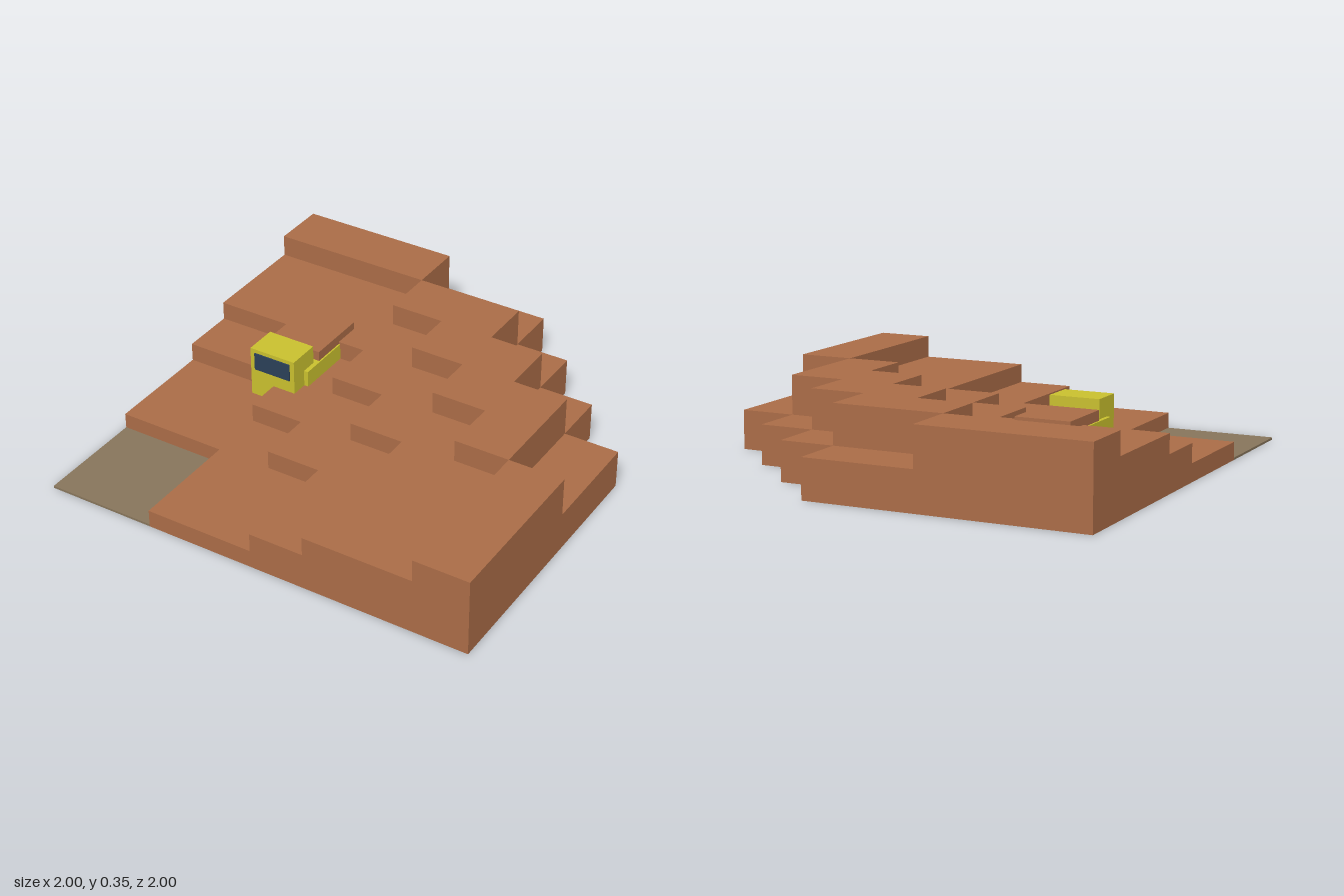
import * as THREE from 'three';

const CELL = 0.25;
// Terrace plan, back row first: 0 pit floor, 1-4 rising benches, 5 outer ledge
const PLAN = [
  '44455...',
  '333445..',
  '3333445.',
  '22233445',
  '11223345',
  '11122334',
  '00112334',
  '00112334',
];
const LEVELS = { 0: 0.01, 1: 0.08, 2: 0.165, 3: 0.25, 4: 0.35, 5: 0.175 };

const codeAt = (col, row) => PLAN[row]?.[col] ?? '.';
const heightAt = (col, row) => LEVELS[codeAt(col, row)] ?? 0;

// Closed stepped surface over every cell accepted by the filter
function steppedGeometry(accept) {
  const pos = [];
  const quad = (a, b, c, d) => pos.push(...a, ...b, ...c, ...a, ...c, ...d);
  const r = CELL / 2;
  for (let row = 0; row < 8; row++) {
    for (let col = 0; col < 8; col++) {
      const code = codeAt(col, row);
      if (code === '.' || !accept(code)) continue;
      const h = heightAt(col, row);
      const x = -1 + (col + 0.5) * CELL;
      const z = -1 + (row + 0.5) * CELL;
      // top and underside
      quad([x - r, h, z + r], [x + r, h, z + r], [x + r, h, z - r], [x - r, h, z - r]);
      quad([x - r, 0, z - r], [x + r, 0, z - r], [x + r, 0, z + r], [x - r, 0, z + r]);
      // risers down to lower neighbours
      for (const [dx, dz] of [[1, 0], [-1, 0], [0, 1], [0, -1]]) {
        const low = heightAt(col + dx, row + dz);
        if (low >= h) continue;
        const cx = x + dx * r, cz = z + dz * r, tx = dz * r, tz = -dx * r;
        quad([cx - tx, low, cz - tz], [cx + tx, low, cz + tz],
          [cx + tx, h, cz + tz], [cx - tx, h, cz - tz]);
      }
    }
  }
  const geo = new THREE.BufferGeometry();
  geo.setAttribute('position', new THREE.Float32BufferAttribute(pos, 3));
  geo.computeVertexNormals();
  return geo;
}

function material(name, color) {
  const m = new THREE.MeshStandardMaterial({ color });
  m.name = name;
  return m;
}

export function createModel() {
  const earth = material('red earth', 0xaa6c47);
  const mud = material('pit mud', 0x87755b);
  const yellow = material('truck yellow', 0xc9c02e);
  const glass = material('dark glass', 0x2b4058);

  const model = new THREE.Group();
  model.name = 'openPitMine';

  const add = (parent, name, geo, mat) => {
    const mesh = new THREE.Mesh(geo, mat);
    mesh.name = name;
    parent.add(mesh);
    return mesh;
  };
  // Box given by its minimum and maximum on each axis
  const box = (parent, name, mat, [x0, x1], [y0, y1], [z0, z1]) =>
    add(parent, name, new THREE.BoxGeometry(x1 - x0, y1 - y0, z1 - z0), mat)
      .position.set((x0 + x1) / 2, (y0 + y1) / 2, (z0 + z1) / 2);

  // Ground
  add(model, 'terraces', steppedGeometry((c) => c !== '0'), earth);
  add(model, 'pitFloor', steppedGeometry((c) => c === '0'), mud);

  // Haul truck, partly sunk into the bench
  const truck = new THREE.Group();
  truck.name = 'haulTruck';
  model.add(truck);
  box(truck, 'chassis', yellow, [-0.633, -0.37, ], [0.09, 0.24], [-0.255, 0.01]);
  box(truck, 'cab', yellow, [-0.615, -0.39], [0.09, 0.325], [-0.065, 0.087]);
  box(truck, 'windscreen', glass, [-0.592, -0.412], [0.225, 0.307], [0.086, 0.093]);
  box(truck, 'load', earth, [-0.625, -0.377], [0.24, 0.285], [-0.375, -0.09]);

  return model;
}
